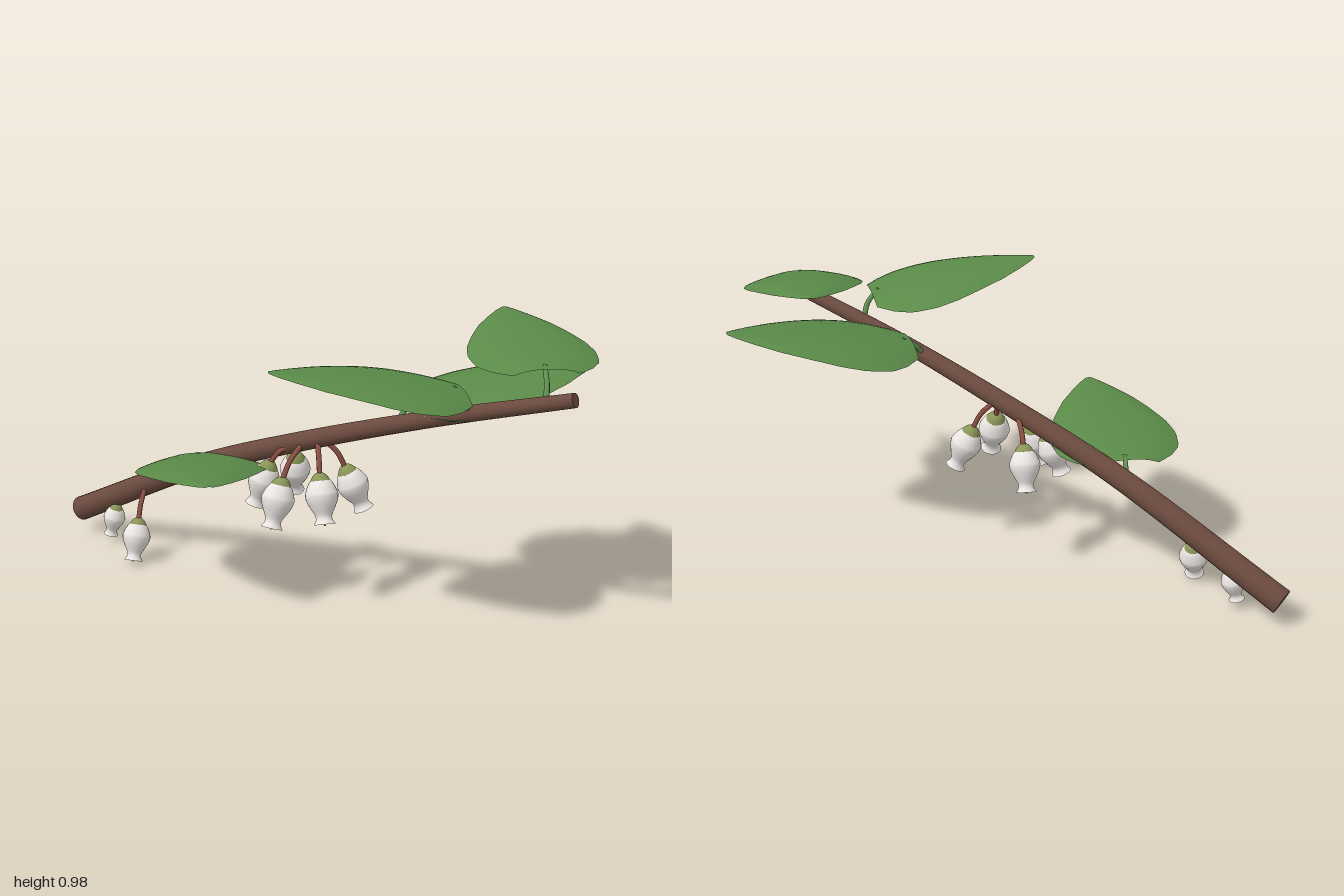
import * as THREE from 'three';

const V = (a) => new THREE.Vector3(...a);
const paint = (color) => new THREE.MeshStandardMaterial({ color, side: THREE.DoubleSide });
const bark = paint(0x6b4a3e), green = paint(0x5a8a48), stalkGreen = paint(0x5f9150);
const stalkRed = paint(0x8a4f42), white = paint(0xe9e4e1), calyxGreen = paint(0x8a9658);

function part(parent, name, geometry, material) {
  const mesh = new THREE.Mesh(geometry, material);
  mesh.name = name;
  parent.add(mesh);
  return mesh;
}

// Tube whose radius runs from r0 to r1, with flat ends
function taperedTube(parent, name, points, r0, r1, material, steps, sides) {
  const curve = new THREE.CatmullRomCurve3(points.map(V));
  const geo = new THREE.TubeGeometry(curve, steps, 1, sides);
  const pos = geo.attributes.position, p = new THREE.Vector3();
  for (let i = 0; i <= steps; i++) {
    const c = curve.getPointAt(i / steps);
    const r = THREE.MathUtils.lerp(r0, r1, i / steps);
    for (let j = 0; j <= sides; j++) {
      const k = i * (sides + 1) + j;
      p.fromBufferAttribute(pos, k).sub(c).multiplyScalar(r).add(c);
      pos.setXYZ(k, p.x, p.y, p.z);
    }
  }
  part(parent, name, geo, material);
  for (const [u, r, s] of [[0, r0, -1], [1, r1, 1]]) {
    const cap = part(parent, name + 'End', new THREE.CircleGeometry(r, sides), material);
    cap.position.copy(curve.getPointAt(u));
    cap.quaternion.setFromUnitVectors(V([0, 0, 1]), curve.getTangentAt(u).multiplyScalar(s));
  }
}

// Half width of a leaf along its length (both as fractions of the length)
const leafWidth = [[0, 0.2], [0.08, 0.3], [0.18, 0.375], [0.32, 0.395], [0.45, 0.37],
  [0.6, 0.305], [0.75, 0.225], [0.88, 0.13], [0.97, 0.055], [1, 0.02]];
function widthAt(t) {
  const i = Math.max(1, leafWidth.findIndex(([u]) => u >= t - 1e-6));
  const [u0, w0] = leafWidth[i - 1], [u1, w1] = leafWidth[i];
  return THREE.MathUtils.mapLinear(t, u0, u1, w0, w1);
}

// Broad leaf with drooping margins, on a short stalk
function makeLeaf(parent, root, base, tip) {
  const leaf = new THREE.Group();
  leaf.name = 'leaf';
  parent.add(leaf);
  const b = V(base), dir = V(tip).sub(b), length = dir.length();
  dir.normalize();
  const side = new THREE.Vector3().crossVectors(dir, V([0, 1, 0])).normalize();
  const up = new THREE.Vector3().crossVectors(side, dir);
  const geo = new THREE.PlaneGeometry(1, 1, 14, 24).rotateX(-Math.PI / 2);
  const pos = geo.attributes.position;
  for (let i = 0; i < pos.count; i++) {
    const s = pos.getX(i) * 2, t = 0.5 - pos.getZ(i);
    const w = widthAt(t);
    const y = 0.03 * Math.sin(Math.PI * t) - 0.17 * w * Math.abs(s) ** 2.5;
    pos.setXYZ(i, s * w * length, y * length, -t * length);
  }
  geo.applyMatrix4(new THREE.Matrix4().makeBasis(side, up, dir.clone().negate()).setPosition(b));
  geo.computeVertexNormals();
  part(leaf, 'leafBlade', geo, green);
  const end = b.clone().addScaledVector(dir, 0.03);
  const mid = V(root).lerp(b, 0.6);
  taperedTube(leaf, 'leafStalk', [root, mid.toArray(), end.toArray()], 0.01, 0.008, stalkGreen, 8, 8);
}

// Urn-shaped flower hanging from top to mouth, with calyx, style and stalk
const urn = [[0.014, 0], [0.03, -0.01], [0.041, -0.025], [0.05, -0.048], [0.051, -0.06],
  [0.046, -0.078], [0.035, -0.1], [0.027, -0.115], [0.025, -0.126], [0.028, -0.136], [0.034, -0.145]];
const calyx = [[0, 0.012], [0.012, 0.012], [0.022, 0.004], [0.029, -0.007], [0.031, -0.012], [0.022, -0.008]];
const lathe = (pts) => new THREE.LatheGeometry(
  new THREE.SplineCurve(pts.map((p) => new THREE.Vector2(...p))).getPoints(28), 24);
function makeFlower(parent, root, top, mouth) {
  const flower = new THREE.Group();
  flower.name = 'flower';
  parent.add(flower);
  const t = V(top), axis = V(mouth).sub(t);
  const bell = new THREE.Group();
  bell.name = 'flowerBell';
  bell.position.copy(t);
  bell.scale.setScalar(axis.length() / 0.145);
  bell.quaternion.setFromUnitVectors(V([0, -1, 0]), axis.normalize());
  flower.add(bell);
  part(bell, 'petals', lathe(urn), white);
  part(bell, 'calyx', lathe(calyx), calyxGreen);
  part(bell, 'style', new THREE.CylinderGeometry(0.003, 0.003, 0.14, 6), calyxGreen).position.y = -0.08;
  const bend = V(root).lerp(t, 0.6);
  bend.y += 0.018;
  taperedTube(flower, 'flowerStalk', [root, bend.toArray(), top], 0.009, 0.009, stalkRed, 10, 8);
}

export function createModel() {
  const model = new THREE.Group();
  model.name = 'floweringTwig';

  taperedTube(model, 'branch', [[-0.98, 0.08, 0.203], [-0.4, 0.37, 0.13], [0, 0.527, 0.08],
    [0.5, 0.697, 0.017], [0.993, 0.842, -0.06]], 0.045, 0.023, bark, 40, 20);

  // stalk root, blade base, blade tip
  [
    [[0.65, 0.745, 0], [0.66, 0.838, 0.05], [0.29, 0.922, 0.525]],
    [[0.39, 0.66, 0.03], [0.4, 0.735, -0.03], [0.765, 0.828, -0.545]],
    [[0.9, 0.815, -0.045], [0.87, 0.908, -0.09], [0.475, 0.98, -0.425]],
    [[-0.4, 0.37, 0.13], [-0.38, 0.428, 0.17], [0.045, 0.503, 0.54]],
  ].forEach((l) => makeLeaf(model, ...l));

  // stalk root, flower top, flower mouth
  [
    [[-0.77, 0.18, 0.18], [-0.785, 0.135, 0.2], [-0.807, 0.025, 0.215]],
    [[-0.64, 0.235, 0.19], [-0.602, 0.14, 0.26], [-0.583, 0.009, 0.308]],
    [[0.04, 0.53, 0.1], [0.04, 0.428, 0.195], [0.043, 0.28, 0.25]],
    [[0.1, 0.55, 0.085], [0.156, 0.455, 0.137], [0.205, 0.31, 0.168]],
    [[0, 0.52, 0.095], [-0.07, 0.448, 0.137], [-0.11, 0.305, 0.168]],
    [[0.1, 0.55, 0.05], [0.156, 0.45, 0.005], [0.205, 0.31, -0.032]],
    [[0, 0.52, 0.06], [-0.07, 0.445, 0.005], [-0.11, 0.305, -0.032]],
  ].forEach((f) => makeFlower(model, ...f));

  return model;
}
